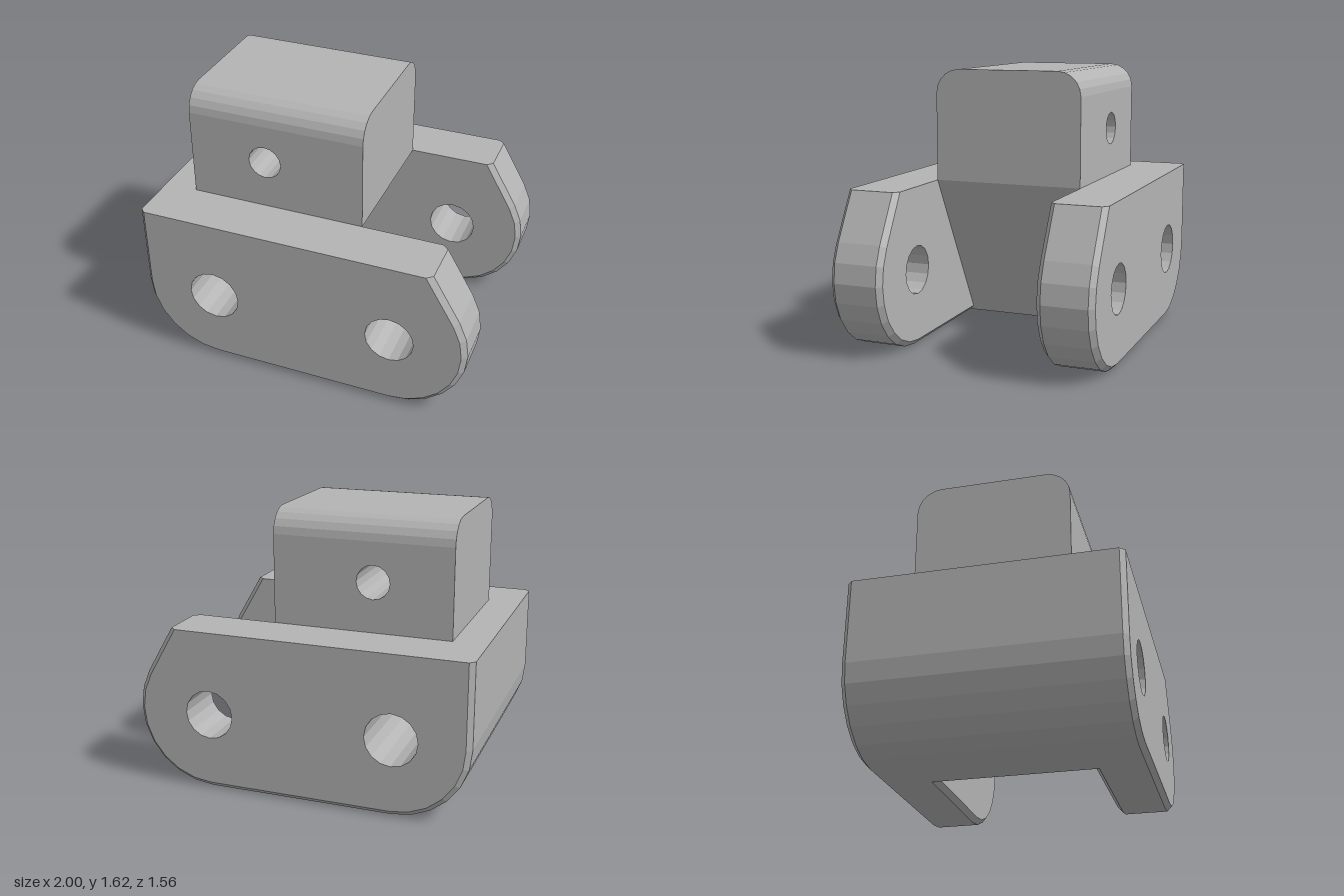
import * as THREE from 'three';
import { mergeGeometries } from 'three/addons/utils/BufferGeometryUtils.js';

const TOP = 0.95;      // height of the base
const HALF = 0.455;    // half width of the gap between the cheeks
const BEVEL = 0.03;

// points along an arc, angles in degrees
function arc(cx, cy, r, from, to, n) {
  return Array.from({ length: n + 1 }, (_, i) => {
    const a = THREE.MathUtils.degToRad(from + ((to - from) * i) / n);
    return new THREE.Vector2(cx + r * Math.cos(a), cy + r * Math.sin(a));
  });
}
const pt = (x, y) => new THREE.Vector2(x, y);

// flat-faceted walls through [outline, z] sections; anticlockwise outlines face outwards
function walls(sections, closed = true) {
  const pos = [];
  for (let s = 0; s + 1 < sections.length; s++) {
    const [p, z0] = sections[s], [q, z1] = sections[s + 1];
    for (let i = 0; i < p.length - (closed ? 0 : 1); i++) {
      const j = (i + 1) % p.length;
      const a = [p[i].x, p[i].y, z0], b = [p[j].x, p[j].y, z0];
      const c = [q[j].x, q[j].y, z1], d = [q[i].x, q[i].y, z1];
      pos.push(...a, ...b, ...c, ...a, ...c, ...d);
    }
  }
  const g = new THREE.BufferGeometry();
  g.setAttribute('position', new THREE.Float32BufferAttribute(pos, 3));
  g.computeVertexNormals();
  return g;
}

// flat face with holes, looking along +z or -z
function face(outline, holes, z, back = false) {
  const shape = new THREE.Shape(outline);
  shape.holes = holes.map((h) => new THREE.Path(h));
  const g = new THREE.ShapeGeometry(shape).toNonIndexed();
  g.deleteAttribute('uv');
  if (back) {
    const p = g.attributes.position;
    for (let i = 0; i < p.count; i += 3) {
      const x = p.getX(i), y = p.getY(i);
      p.setXY(i, p.getX(i + 1), p.getY(i + 1));
      p.setXY(i + 1, x, y);
    }
  }
  g.translate(0, 0, z);
  g.computeVertexNormals();
  return g;
}

// closed solid through sections, pierced by straight holes
function solid(sections, holes = []) {
  const first = sections[0], last = sections[sections.length - 1];
  return mergeGeometries([
    walls(sections),
    face(first[0], holes, first[1], true),
    face(last[0], holes, last[1]),
    ...holes.map((h) => walls([[h, first[1]], [h, last[1]]])),
  ]);
}

// clockwise circle, so that its walls face the hole's axis
const hole = (x, y, r, n = 16) => arc(x, y, r, 360, 0, n).slice(0, n);

// cheek profile, inset by d everywhere except along the top
function cheekOutline(d) {
  return [
    pt(-1 + d, TOP),
    ...arc(-0.55, 0.45, 0.45 - d, 180, 270, 6),
    ...arc(0.55, 0.45, 0.45 - d, 270, 390, 8),
    pt(0.78 - d * 1.15, TOP),
  ];
}

export function createModel() {
  const model = new THREE.Group();
  const grey = new THREE.MeshStandardMaterial({ color: 0xb3b3b3 });
  grey.name = 'grey';
  const add = (name, geometry) => {
    const mesh = new THREE.Mesh(geometry, grey);
    mesh.name = name;
    model.add(mesh);
    return mesh;
  };

  // two bevelled cheeks with a pair of holes each
  const rearHole = hole(-0.55, 0.455, 0.155);
  const frontHole = hole(0.547, 0.455, 0.145);
  const t = 0.1615;
  const inner = cheekOutline(BEVEL), outer = cheekOutline(0);
  const cheek = solid(
    [[inner, -t], [outer, -t + BEVEL], [outer, t - BEVEL], [inner, t]],
    [rearHole, frontHole]
  );
  for (const side of [1, -1]) {
    add(side > 0 ? 'frontCheek' : 'backCheek', cheek).position.z = side * (HALF + t);
  }

  // core joining the cheeks, with an undercut sloping end
  const core = [
    pt(-1, TOP),
    ...arc(-0.55, 0.45, 0.45, 180, 270, 6),
    pt(-0.27, 0),
    pt(0.262, TOP),
  ];
  const w = HALF + BEVEL;
  add('core', solid([[core, -w], [core, w]], [rearHole]));

  // upper lug: drilled sides, rounded roof and two end faces
  const x0 = -0.8, x1 = 0.262, r = 0.145, spring = 1.62 - r;
  const pin = hole(-0.335, 1.242, 0.099);
  const side = [pt(x0, TOP), pt(x1, TOP), pt(x1, spring), pt(x0, spring)];
  const roof = [
    ...arc(HALF - r, spring, r, 0, 90, 5),
    ...arc(-HALF + r, spring, r, 90, 180, 5),
  ];
  const end = [pt(-HALF, TOP), pt(HALF, TOP), ...roof];
  const across = mergeGeometries([
    walls([[roof, x0], [roof, x1]], false),
    face(end, [], x0, true),
    face(end, [], x1),
  ]).rotateY(Math.PI / 2);
  add('lug', mergeGeometries([
    across,
    face(side, [pin], -HALF, true),
    face(side, [pin], HALF),
    walls([[pin, -HALF], [pin, HALF]]),
  ]));

  return model;
}
